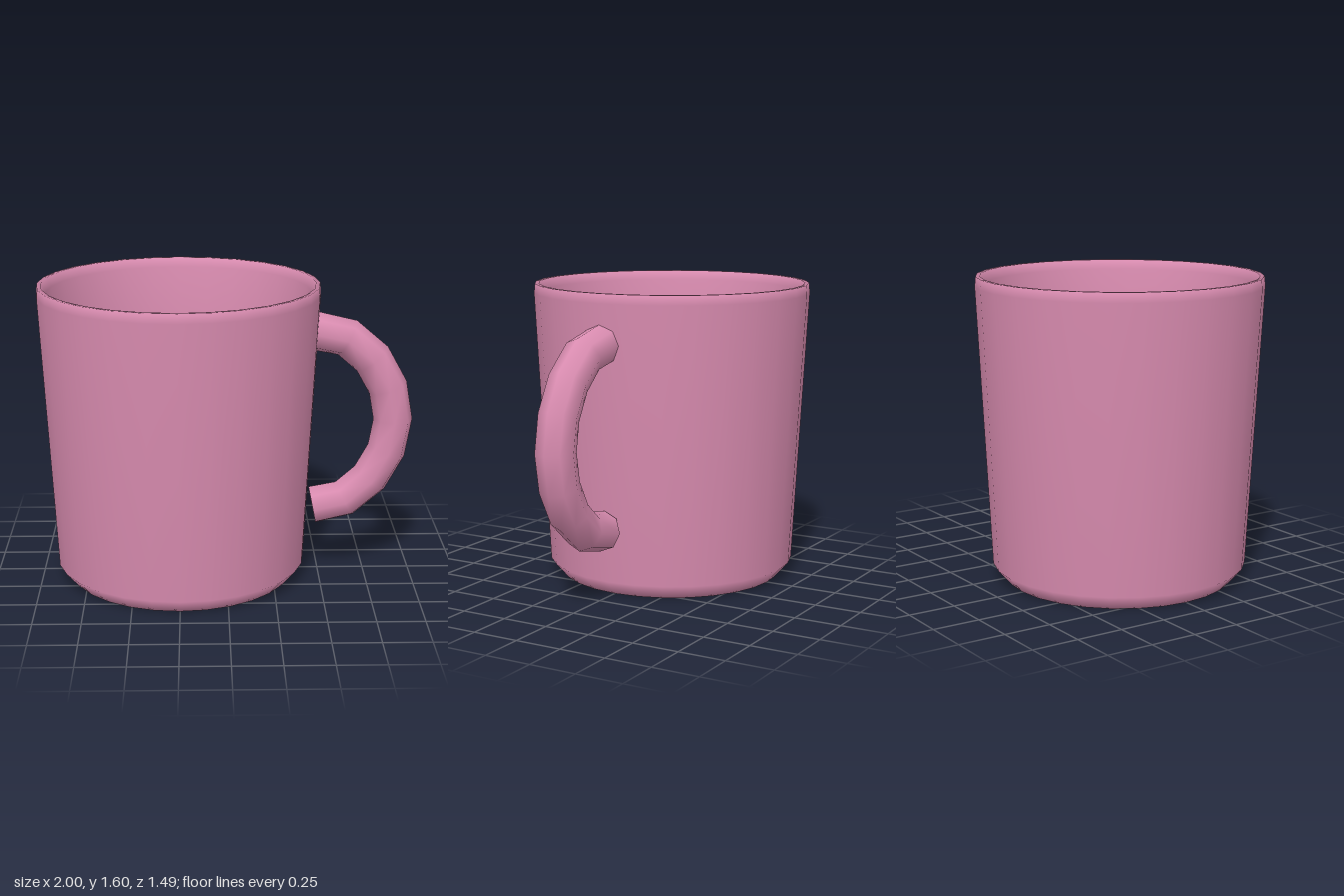
import * as THREE from 'three';

const CUP_X = -0.25;
const SIDES = 28;

export function createModel() {
  const model = new THREE.Group();
  const glaze = new THREE.MeshStandardMaterial({ color: 0xd98cb0, side: THREE.DoubleSide });
  const coffee = new THREE.MeshStandardMaterial({ color: 0x2e1f1a });

  const add = (name, geometry, material) => {
    const mesh = new THREE.Mesh(geometry, material);
    mesh.name = name;
    model.add(mesh);
    return mesh;
  };

  // Cup: outer wall with bevelled foot, rim, then the inner wall and floor
  const profile = [
    [0, 0], [0.6, 0], [0.67, 0.08], [0.747, 1.55], [0.742, 1.6],
    [0.72, 1.6], [0.7, 1.55], [0.663, 1.25], [0.6, 0.12], [0, 0.1],
  ].map(([r, y]) => new THREE.Vector2(r, y));
  add('cup', new THREE.LatheGeometry(profile, SIDES), glaze).position.x = CUP_X;

  // Drink surface
  const drink = add('drink', new THREE.CircleGeometry(0.663, SIDES), coffee);
  drink.rotation.x = -Math.PI / 2;
  drink.position.set(CUP_X, 1.25, 0);

  // Handle: upper half of the loop mirrored about its middle height
  const middle = 0.853;
  const half = [[0.467, 0.487], [0.63, 0.455], [0.767, 0.345], [0.86, 0.188]];
  const loop = [
    ...half,
    [0.895, 0],
    ...half.map(([x, y]) => [x, -y]).reverse(),
  ].map(([x, y]) => new THREE.Vector3(x, middle + y, 0));
  add('handle', new THREE.TubeGeometry(new THREE.CatmullRomCurve3(loop), 8, 0.105, 8), glaze);

  return model;
}
